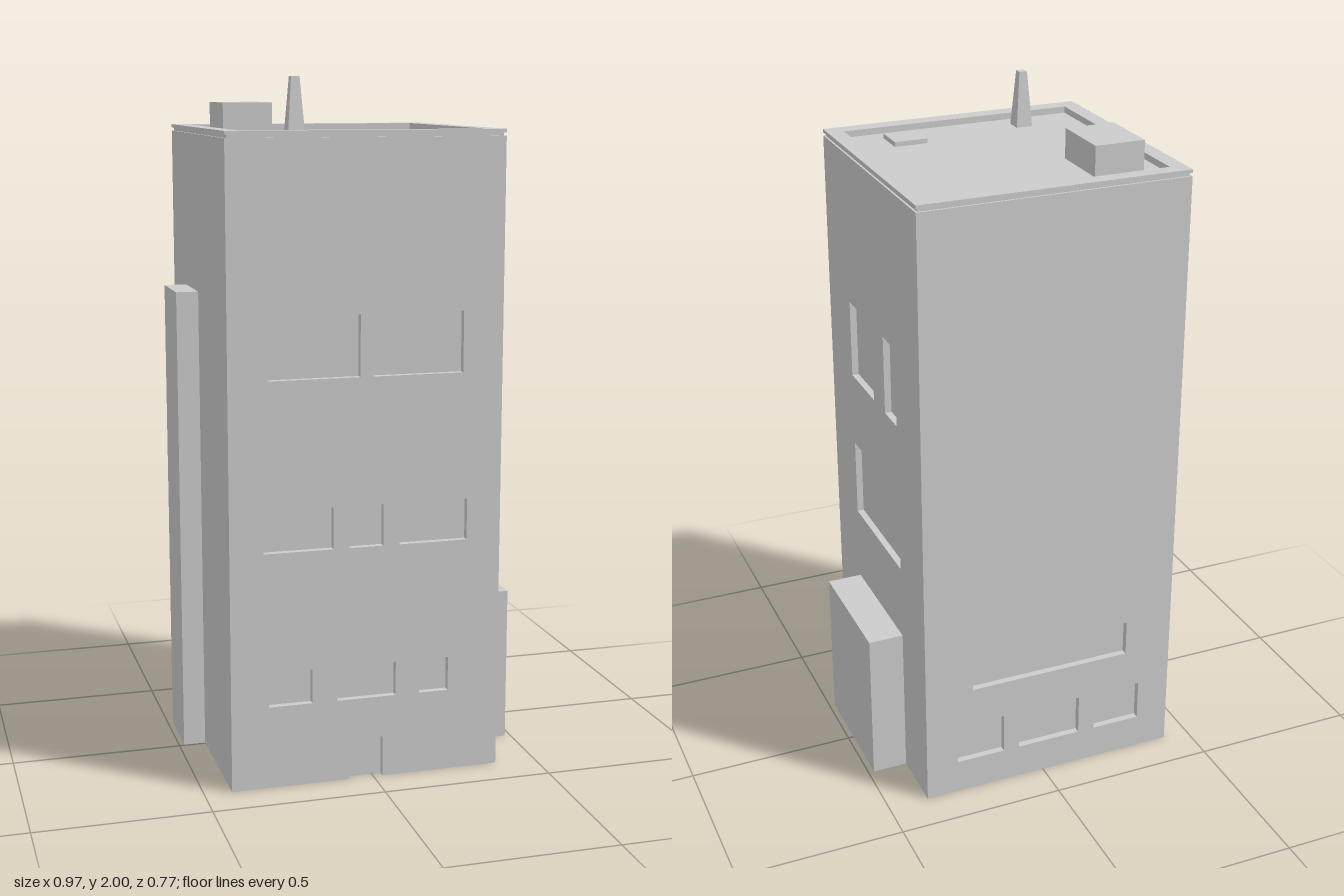
import * as THREE from 'three';

const mat = new THREE.MeshStandardMaterial({ color: 0xcccccc, flatShading: true, side: THREE.DoubleSide });

// Tower footprint
const X0 = -0.42, X1 = 0.378, Z = 0.383, DECK = 1.838;

function add(parent, name, geo, x = 0, y = 0, z = 0) {
  const m = new THREE.Mesh(geo, mat);
  m.name = name;
  m.position.set(x, y, z);
  parent.add(m);
  return m;
}

// Box shell open towards the wall plane z = 0, and open below when it stands on the ground.
// Positive depth stands out of the wall, negative depth is a recess.
function addBay(wall, { name, u0, u1, y0, y1, depth }) {
  const geo = new THREE.BoxGeometry(u1 - u0, y1 - y0, Math.abs(depth));
  const drop = [depth > 0 ? 5 : 4];
  if (y0 === 0) drop.push(3);
  const index = Array.from(geo.index.array).filter((_, i) => !drop.includes(Math.floor(i / 6)));
  geo.setIndex(index);
  geo.clearGroups();
  add(wall, name, geo, (u0 + u1) / 2, (y0 + y1) / 2, depth / 2);
}

// Wall sheet in its own plane, with an opening for every bay
function addWall(parent, name, u0, u1, offset, angle, bays) {
  const wall = new THREE.Group();
  wall.name = name;
  wall.rotation.y = angle;
  wall.position.set(Math.sin(angle) * offset, 0, Math.cos(angle) * offset);
  const shape = new THREE.Shape().moveTo(u0, 0);
  for (const b of bays) {
    if (b.y0 === 0) {
      shape.lineTo(b.u0, 0).lineTo(b.u0, b.y1).lineTo(b.u1, b.y1).lineTo(b.u1, 0);
    } else {
      shape.holes.push(new THREE.Path().moveTo(b.u0, b.y0).lineTo(b.u0, b.y1)
        .lineTo(b.u1, b.y1).lineTo(b.u1, b.y0).closePath());
    }
    addBay(wall, b);
  }
  shape.lineTo(u1, 0).lineTo(u1, DECK).lineTo(u0, DECK).closePath();
  add(wall, name + 'Sheet', new THREE.ShapeGeometry(shape));
  parent.add(wall);
}

// Row of recessed windows sharing one height
const windows = (y0, y1, spans) =>
  spans.map(([u0, u1]) => ({ name: 'window', u0, u1, y0, y1, depth: -0.02 }));

// Rectangular ring lying flat, used for the parapet
function addRing(parent, name, inset, y, height) {
  const rect = (path, a, b, c, d) =>
    path.moveTo(a, c).lineTo(b, c).lineTo(b, d).lineTo(a, d).closePath();
  const shape = rect(new THREE.Shape(), X0 + inset, X1 - inset, -Z + inset, Z - inset);
  shape.holes.push(rect(new THREE.Path(), -0.373, 0.33, -0.335, 0.338));
  const geo = new THREE.ExtrudeGeometry(shape, { depth: height, bevelEnabled: false });
  geo.rotateX(-Math.PI / 2);
  add(parent, name, geo, 0, y, 0);
}

export function createModel() {
  const g = new THREE.Group();
  g.name = 'officeTower';

  // Front: three window rows and a door
  addWall(g, 'frontWall', X0, X1, Z, 0, [
    { name: 'door', u0: -0.074, u1: 0.027, y0: 0, y1: 0.12, depth: -0.02 },
    ...windows(0.242, 0.343, [[-0.31, -0.183], [-0.108, 0.066], [0.138, 0.225]]),
    ...windows(0.692, 0.813, [[-0.322, -0.12], [-0.074, 0.027], [0.075, 0.277]]),
    ...windows(1.18, 1.356, [[-0.307, -0.042], [-0.005, 0.26]]),
  ]);
  // Sides: a low annex and a tall shaft, open to the hollow tower
  addWall(g, 'rightWall', -Z, Z, X1, Math.PI / 2, [
    { name: 'annex', u0: -0.19, u1: 0.195, y0: 0, y1: 0.465, depth: 0.105 },
    ...windows(0.692, 0.927, [[-0.195, 0.193]]),
    ...windows(1.153, 1.387, [[-0.195, 0], [0.095, 0.192]]),
  ]);
  addWall(g, 'leftWall', -Z, Z, -X0, -Math.PI / 2, [
    { name: 'shaft', u0: -0.195, u1: -0.005, y0: 0, y1: 1.386, depth: 0.065 },
  ]);
  // Back: two low window rows
  addWall(g, 'backWall', -X1, -X0, Z, Math.PI, [
    ...windows(0.105, 0.23, [[-0.28, -0.13], [-0.08, 0.118], [0.17, 0.32]]),
    ...windows(0.35, 0.46, [[-0.229, 0.272]]),
  ]);

  // Roof deck and parapet with a shadow groove below its cap
  const deck = new THREE.PlaneGeometry(X1 - X0, 2 * Z).rotateX(-Math.PI / 2);
  add(g, 'roofDeck', deck, (X0 + X1) / 2, DECK, 0);
  addRing(g, 'parapetGroove', 0.006, DECK, 0.009);
  addRing(g, 'parapetCap', 0, DECK + 0.009, 0.01);

  // Rooftop fittings
  add(g, 'roofHut', new THREE.BoxGeometry(0.148, 0.087, 0.19), -0.246, 1.8815, -0.195);
  add(g, 'roofHatch', new THREE.BoxGeometry(0.099, 0.014, 0.096), 0.177, 1.845, 0.238);
  const mast = new THREE.CylinderGeometry(0.012 * Math.SQRT2, 0.0245 * Math.SQRT2, 2 - DECK, 4);
  mast.rotateY(Math.PI / 4);
  add(g, 'mast', mast, -0.197, (2 + DECK) / 2, 0.261);

  return g;
}
